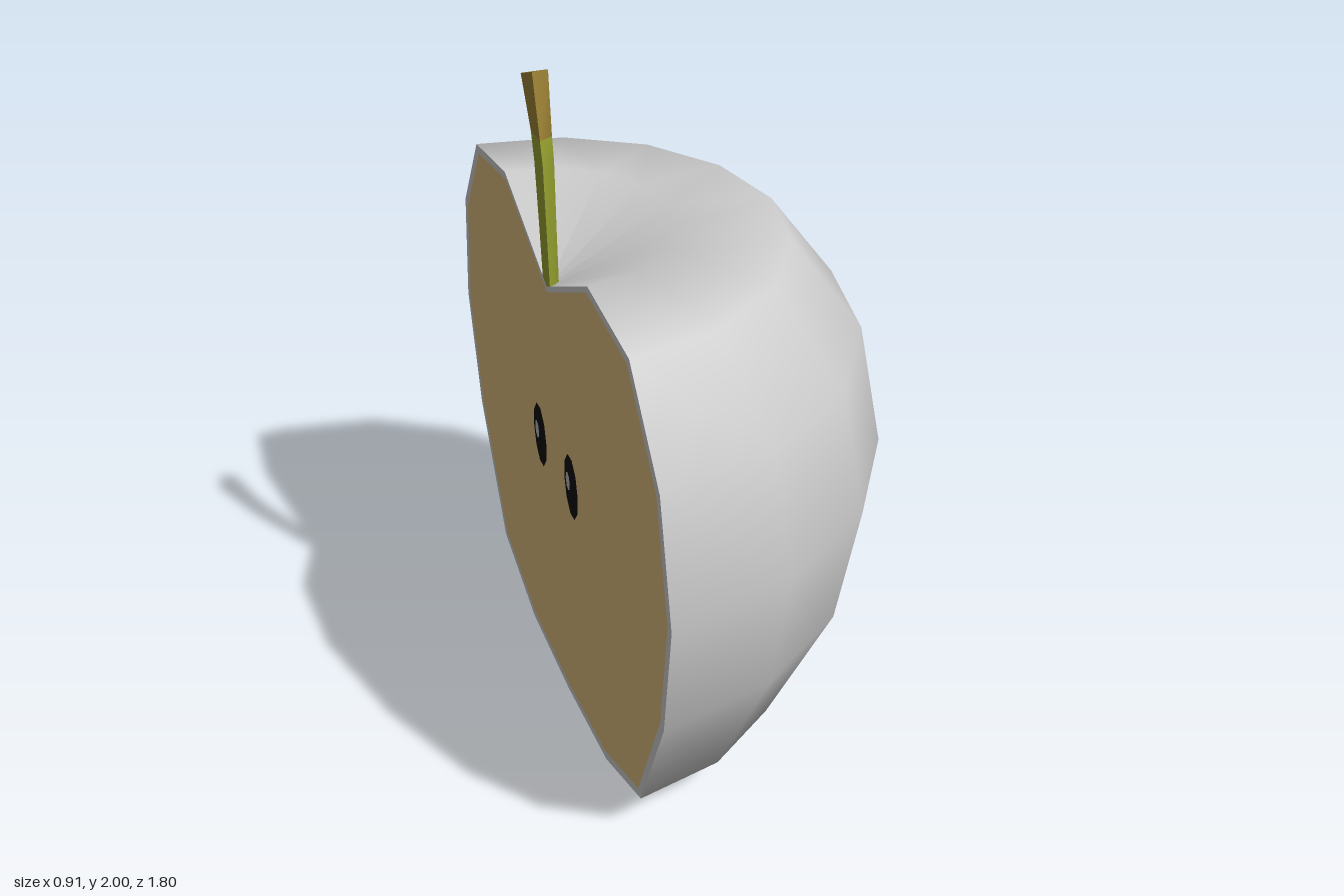
import * as THREE from 'three';
import { toCreasedNormals } from 'three/addons/utils/BufferGeometryUtils.js';

const CUT = -0.45; // plane of the cut side
const paint = (name, color) => Object.assign(new THREE.MeshStandardMaterial({ color }), { name });

// radius and height, bottom to top, ending in the stem hollow
const PROFILE = [
  [0, 0.005], [0.35, 0.025], [0.645, 0.145], [0.835, 0.56], [0.9, 0.93],
  [0.835, 1.29], [0.645, 1.55], [0.35, 1.59], [0, 1.41],
].map(([r, y]) => new THREE.Vector2(r, y));

// closed outline of the cut side, shrunk towards its middle
function cutOutline(scale) {
  const mirrored = PROFILE.slice(1, -1).reverse().map((p) => new THREE.Vector2(-p.x, p.y));
  return [...PROFILE, ...mirrored].map((p) => new THREE.Vector2(p.x * scale, 0.85 + (p.y - 0.85) * scale));
}

// joins closed loops of points into a capped solid
function loft(rings) {
  const n = rings[0].length, index = [];
  for (let r = 0; r < rings.length - 1; r++) {
    for (let i = 0; i < n; i++) {
      const a = r * n + i, b = r * n + (i + 1) % n;
      index.push(a, b, b + n, a, b + n, a + n);
    }
  }
  const top = (rings.length - 1) * n;
  for (let i = 1; i < n - 1; i++) index.push(top, top + i, top + i + 1, 0, i + 1, i);
  const g = new THREE.BufferGeometry();
  g.setAttribute('position', new THREE.Float32BufferAttribute(rings.flat(2), 3));
  g.setIndex(index);
  return toCreasedNormals(g, 1.2);
}

// half of a six-sided stem section, tilted towards the back
function stemRing([y, z, r, tilt]) {
  return Array.from({ length: 4 }, (_, i) => {
    const a = (i / 3) * Math.PI, c = Math.cos(a);
    return [CUT + 1.12 * r * Math.sin(a), y + tilt * c, z + r * c];
  });
}

export function createModel() {
  const group = new THREE.Group();
  const skinMat = paint('skin grey', 0xcccccc);
  const fleshMat = paint('flesh tan', 0xdabb7b);
  const greenMat = paint('stem green', 0x929d2e);
  const brownMat = paint('stem brown', 0x997f33);
  const seedMat = paint('seed black', 0x0a0a0c);
  const glintMat = paint('seed glint', 0xb4b8c0);

  const add = (name, geometry, material, x = 0, y = 0, z = 0) => {
    const m = new THREE.Mesh(geometry, material);
    m.name = name;
    m.position.set(x, y, z);
    group.add(m);
    return m;
  };
  // flat piece on the cut side, facing -x
  const addFlat = (...args) => {
    const m = add(...args);
    m.rotation.y = -Math.PI / 2;
    return m;
  };

  // half fruit body
  add('skin', new THREE.LatheGeometry(PROFILE, 8, 0, Math.PI), skinMat, CUT);

  // cut side: thin skin edge around the flesh
  const edge = new THREE.Shape(cutOutline(1));
  edge.holes.push(new THREE.Path(cutOutline(0.97)));
  addFlat('skinEdge', new THREE.ShapeGeometry(edge), skinMat, CUT);
  addFlat('flesh', new THREE.ShapeGeometry(new THREE.Shape(cutOutline(0.97))), fleshMat, CUT);

  // pair of seeds with a small glint each
  for (const side of [-1, 1]) {
    const seed = addFlat('seed', new THREE.CircleGeometry(1, 10), seedMat, CUT - 0.003, 0.855, side * 0.14);
    seed.scale.set(0.058, 0.105, 1);
    const glint = addFlat('seedGlint', new THREE.CircleGeometry(1, 8), glintMat, CUT - 0.006, 0.865, side * 0.14 - 0.018);
    glint.scale.set(0.018, 0.03, 1);
  }

  // bent half stem: green below, brown tip
  const joint = [1.83, -0.028, 0.039, 0];
  const lower = [[1.39, 0, 0.03, 0], [1.58, -0.006, 0.033, 0], [1.76, -0.013, 0.037, 0.008], joint];
  const tip = [joint, [1.98, -0.078, 0.051, 0.02]];
  add('stemLower', loft(lower.map(stemRing)), greenMat);
  add('stemTip', loft(tip.map(stemRing)), brownMat);
  return group;
}
